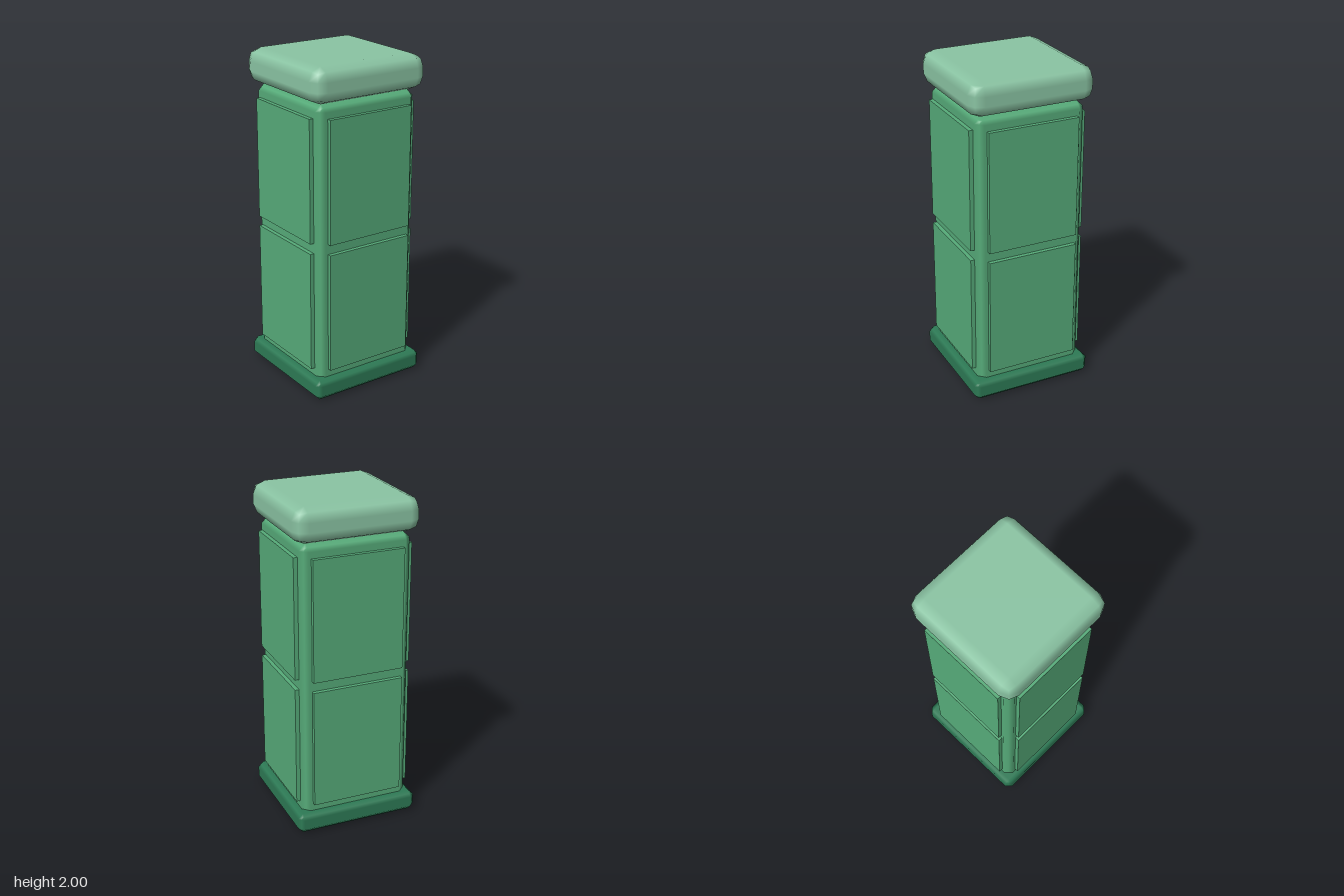
import * as THREE from 'three';
import { RoundedBoxGeometry } from 'three/addons/geometries/RoundedBoxGeometry.js';

const cream = (name, color) => {
  const m = new THREE.MeshStandardMaterial({ color });
  m.name = name;
  return m;
};

// Box with a single-step bevel and softly shaded edges
function bevelBox(w, h, d, r) {
  const geo = new RoundedBoxGeometry(w, h, d, 1, r);
  const pos = geo.attributes.position, nor = geo.attributes.normal;
  const n = new THREE.Vector3(), p = new THREE.Vector3();
  for (let i = 0; i < pos.count; i++) {
    n.fromBufferAttribute(nor, i);
    p.fromBufferAttribute(pos, i);
    const sum = Math.abs(n.x) + Math.abs(n.y) + Math.abs(n.z);
    p.addScaledVector(n, r / sum - r); // flatten the round into a chamfer
    pos.setXYZ(i, p.x, p.y, p.z);
  }
  return geo;
}

export function createModel() {
  const group = new THREE.Group();
  group.name = 'pillar';
  const baseMat = cream('dark green', 0x2d7a55);
  const bodyMat = cream('mid green', 0x56ab79);
  const capMat = cream('pale green', 0x8ac4a3);

  const add = (name, geo, mat, y, parent = group) => {
    const mesh = new THREE.Mesh(geo, mat);
    mesh.name = name;
    mesh.position.y = y;
    parent.add(mesh);
    return mesh;
  };

  // Plinth, shaft and cushioned cap
  add('base', bevelBox(0.766, 0.127, 0.766, 0.032), baseMat, 0.0635);
  add('shaft', bevelBox(0.676, 1.73, 0.676, 0.042), bodyMat, 0.925);
  add('cap', new RoundedBoxGeometry(0.766, 0.21, 0.766, 1, 0.077), capMat, 1.895);

  // Two raised panels on each of the four sides
  const panelGeo = new THREE.BoxGeometry(0.56, 0.736, 0.034);
  for (let i = 0; i < 4; i++) {
    const side = new THREE.Group();
    side.name = 'panelSide' + (i + 1);
    side.rotation.y = (i * Math.PI) / 2;
    add('lowerPanel', panelGeo, bodyMat, 0.543, side).position.z = 0.346;
    add('upperPanel', panelGeo, bodyMat, 1.341, side).position.z = 0.346;
    group.add(side);
  }
  return group;
}
